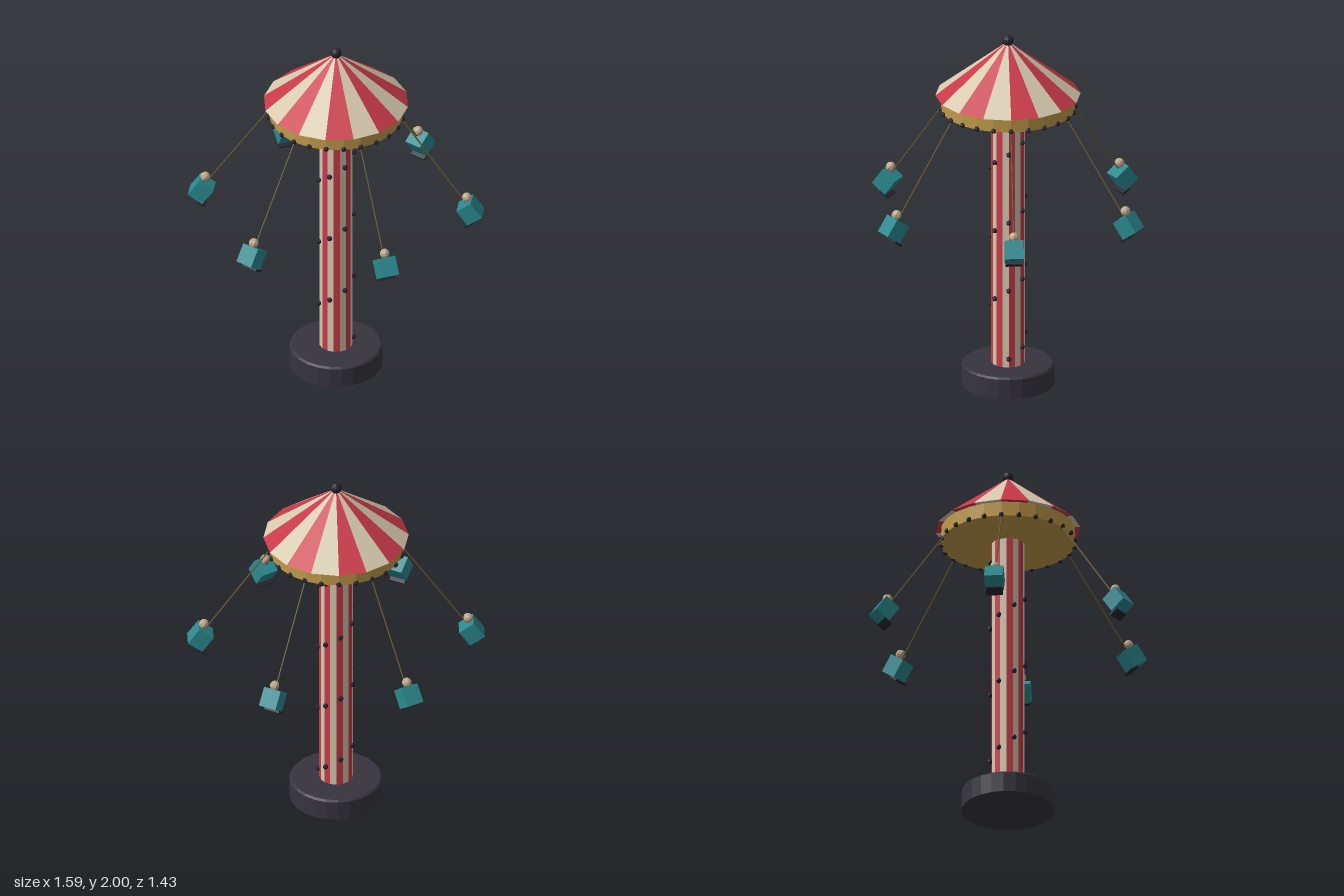
import * as THREE from 'three';
import { mergeGeometries } from 'three/addons/utils/BufferGeometryUtils.js';

const paint = (color) => new THREE.MeshStandardMaterial({ color, flatShading: true });
const red = paint(0xc83a48), cream = paint(0xd6c9ae), gold = paint(0xc09a4a);
const dark = paint(0x37343e), bulb = paint(0x26242e), teal = paint(0x2a8a90);
const rope = paint(0x6b5a35), skin = paint(0xbfa98c);

function add(parent, name, geometry, material, x = 0, y = 0, z = 0) {
  const mesh = new THREE.Mesh(geometry, material);
  mesh.name = name;
  mesh.position.set(x, y, z);
  parent.add(mesh);
  return mesh;
}

// Cylinder or cone made of 16 wedges in alternating colours
function striped(parent, name, rTop, rBottom, y0, y1) {
  const wedge = (Math.PI * 2) / 16;
  [red, cream].forEach((material, odd) => {
    const parts = [];
    for (let i = odd; i < 16; i += 2) {
      parts.push(new THREE.CylinderGeometry(rTop, rBottom, y1 - y0, 1, 1, false, i * wedge, wedge));
    }
    add(parent, name + (odd ? 'CreamStripes' : 'RedStripes'), mergeGeometries(parts), material, 0, (y0 + y1) / 2, 0);
  });
}

// Straight rod between two points
function rod(parent, name, a, b, radius, material) {
  const dir = b.clone().sub(a);
  const mesh = add(parent, name, new THREE.CylinderGeometry(radius, radius, dir.length(), 6), material);
  mesh.position.copy(a).addScaledVector(dir, 0.5);
  mesh.quaternion.setFromUnitVectors(new THREE.Vector3(0, 1, 0), dir.normalize());
}

// One swing hanging outward along +x
function makeSwing() {
  const swing = new THREE.Group();
  swing.name = 'swing';
  rod(swing, 'cable', new THREE.Vector3(0.35, 1.59, 0), new THREE.Vector3(0.7, 1.085, 0), 0.004, rope);

  const seat = new THREE.Group();
  seat.name = 'seat';
  seat.position.set(0.728, 1.037, 0);
  seat.rotation.z = 0.62;
  add(seat, 'seatBox', new THREE.BoxGeometry(0.095, 0.104, 0.1), teal);
  add(seat, 'footrest', new THREE.BoxGeometry(0.05, 0.012, 0.09), bulb, -0.045, -0.058, 0);
  add(seat, 'riderHead', new THREE.SphereGeometry(0.027, 8, 6), skin, 0.03, 0.074, 0);
  swing.add(seat);
  return swing;
}

export function createModel() {
  const model = new THREE.Group();
  model.name = 'swingRide';

  // Base with a small bevel
  const profile = [[0, 0], [0.25, 0], [0.25, 0.11], [0.24, 0.12], [0, 0.12]];
  add(model, 'base', new THREE.LatheGeometry(profile.map((p) => new THREE.Vector2(...p)), 24), dark);

  // Pole, canopy and finial
  striped(model, 'pole', 0.09, 0.09, 0.12, 1.57);
  striped(model, 'roof', 0, 0.39, 1.66, 1.965);
  add(model, 'valance', new THREE.CylinderGeometry(0.36, 0.36, 0.08, 24), gold, 0, 1.62, 0);
  add(model, 'finial', new THREE.SphereGeometry(0.031, 12, 8), bulb, 0, 1.969, 0);

  // Lights around the valance
  const bulbGeometry = new THREE.SphereGeometry(0.015, 6, 4);
  for (let i = 0; i < 24; i++) {
    const a = (i / 24) * Math.PI * 2;
    add(model, 'valanceLight', bulbGeometry, bulb, Math.cos(a) * 0.36, 1.585, Math.sin(a) * 0.36);
  }

  // Lights spiralling up the pole, seven per turn
  for (let i = 0; i < 24; i++) {
    const a = (i / 7) * Math.PI * 2;
    add(model, 'poleLight', bulbGeometry, bulb, Math.cos(a) * 0.095, 0.17 + i * 0.056, -Math.sin(a) * 0.095);
  }

  // Six swings
  for (let i = 0; i < 6; i++) {
    const swing = makeSwing();
    swing.rotation.y = (i * Math.PI) / 3;
    model.add(swing);
  }
  return model;
}
